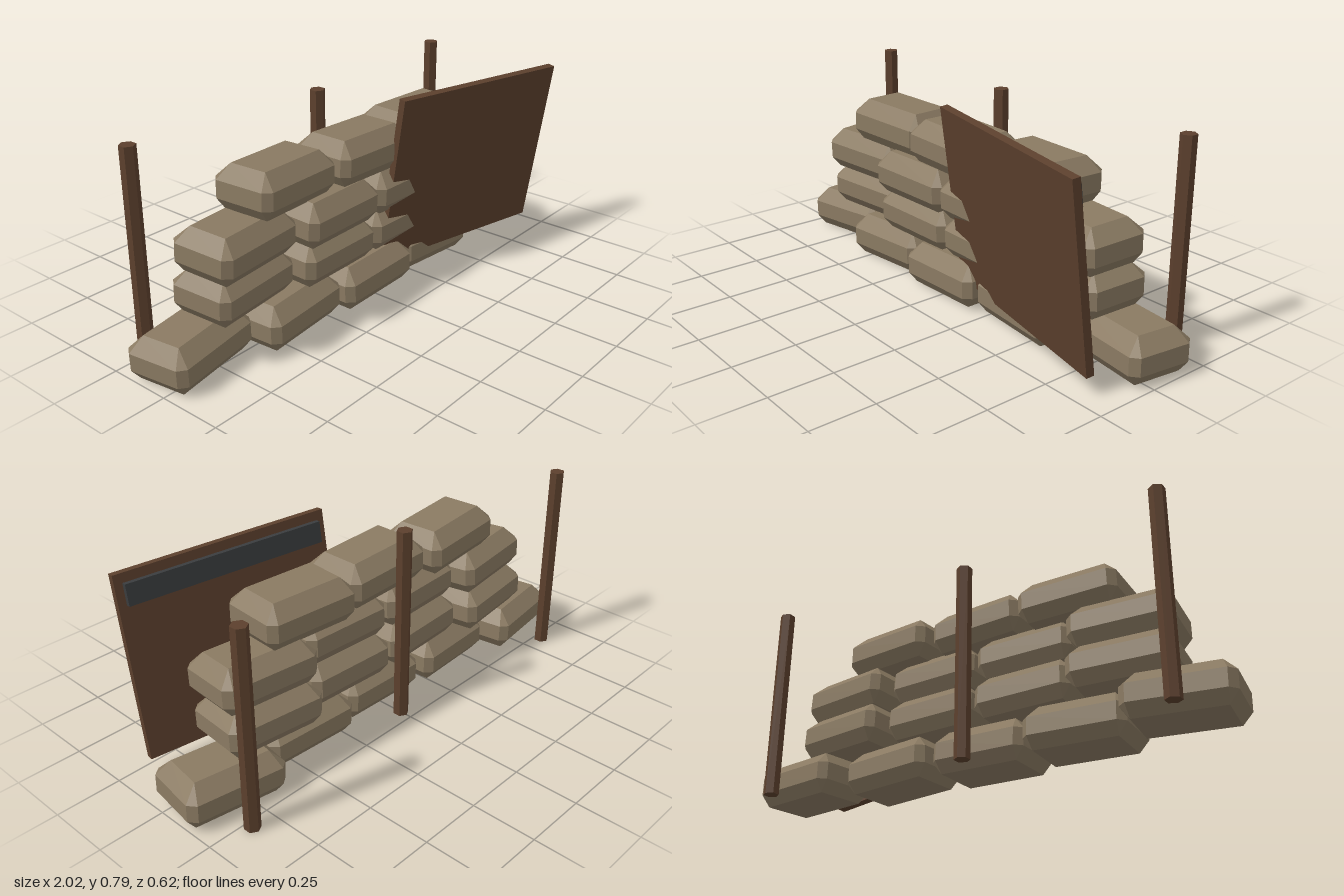
import * as THREE from 'three';
import { ConvexGeometry } from 'three/addons/geometries/ConvexGeometry.js';

const mat = (name, color) => {
  const m = new THREE.MeshStandardMaterial({ color, flatShading: true });
  m.name = name;
  return m;
};

// Sandbag: a box with bevelled edges, wider bevel on the top than underneath
function bagGeometry() {
  const W = 0.196, D = 0.13, H = 0.084, cut = 0.028;
  const pts = [];
  for (const sx of [-1, 1]) for (const sz of [-1, 1]) {
    const add = (x, y, z) => pts.push(new THREE.Vector3(sx * x, y, sz * z));
    add(W - 0.05, H, D - 0.053);
    add(W - 0.035, -H, D - 0.035);
    for (const y of [0.03, -0.038]) {
      add(W - cut, y, D);
      add(W, y, D - cut);
    }
  }
  return new ConvexGeometry(pts);
}

export function createModel() {
  const group = new THREE.Group();
  const burlap = mat('burlap', 0x8a7a62);
  const wood = mat('wood', 0x5c402d);
  const iron = mat('dark iron', 0x3a3c3e);

  const add = (parent, name, geometry, material, x, y, z) => {
    const mesh = new THREE.Mesh(geometry, material);
    mesh.name = name;
    mesh.position.set(x, y, z);
    parent.add(mesh);
    return mesh;
  };

  // Four staggered rows of bags, bowed backwards at both ends
  const rows = [
    { xs: [-0.8, -0.4, 0, 0.4, 0.8], y: 0.093, z: 0, pitch: 0, rolls: [0.025, 0.02, 0.025, -0.02, 0.02] },
    { xs: [-0.6, -0.2, 0.2, 0.6], y: 0.262, z: -0.02, pitch: 0.04, rolls: [-0.01, -0.02, 0.01, 0.01] },
    { xs: [-0.6, -0.2, 0.2, 0.6], y: 0.424, z: 0, pitch: 0.05, rolls: [-0.02, -0.015, 0.01, 0.01] },
    { xs: [-0.4, 0, 0.4], y: 0.588, z: -0.02, pitch: 0, rolls: [-0.03, -0.03, 0.01] },
  ];
  const bag = bagGeometry();
  const wall = new THREE.Group();
  wall.name = 'sandbagWall';
  group.add(wall);
  for (const row of rows) {
    row.xs.forEach((x, i) => {
      const mesh = add(wall, 'sandbag', bag, burlap, x, row.y, row.z - 0.125 * x * x);
      mesh.rotation.set(row.pitch, -0.18 * x, row.rolls[i]);
    });
  }

  // Hexagonal stakes behind the wall
  const stake = new THREE.CylinderGeometry(0.03, 0.03, 0.78, 6);
  for (const [x, z] of [[-0.84, -0.28], [0, -0.2], [0.84, -0.28]]) {
    add(group, 'stake', stake, wood, x, 0.395, z);
  }

  // Leaning wooden panel with an iron bar across its back
  const panel = new THREE.Group();
  panel.name = 'leaningPanel';
  panel.position.set(0.49, 0.435, 0.17);
  panel.rotation.set(0.143, -0.185, 0);
  group.add(panel);
  add(panel, 'board', new THREE.BoxGeometry(0.83, 0.7, 0.03), wood, 0, 0, 0);
  add(panel, 'bar', new THREE.BoxGeometry(0.77, 0.08, 0.022), iron, 0, 0.275, -0.025);

  return group;
}
